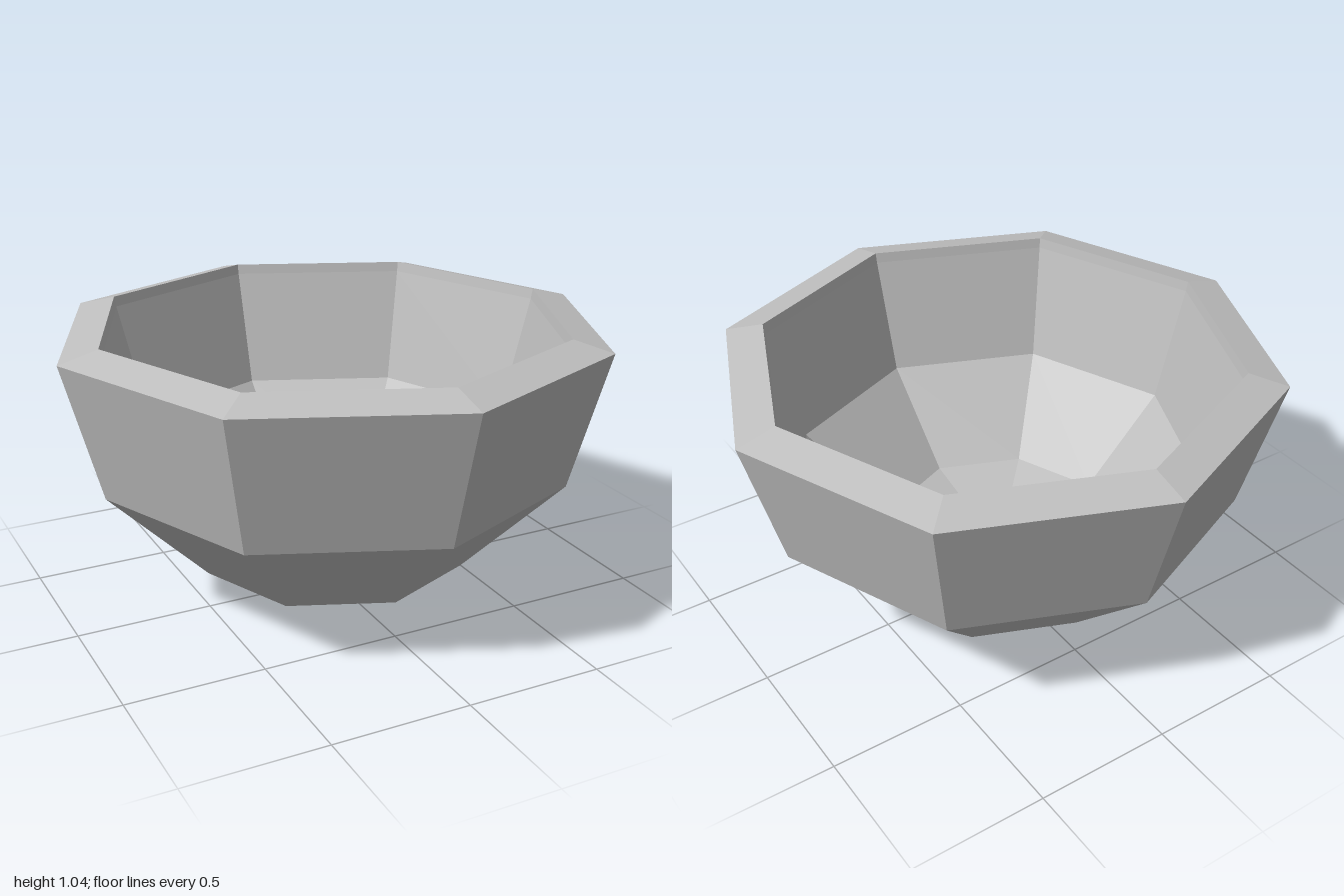
import * as THREE from 'three';

const SIDES = 8;
const RADIUS = 1;
const INNER_RADIUS = 0.85;
const RIM_Y = 1;

// Quarter-circle profile from the bottom pole up to the rim, in three steps
function bowlProfile(radius) {
  return [0, 1, 2, 3].map((i) => {
    const a = (i * Math.PI) / 6;
    return new THREE.Vector2(radius * Math.sin(a), RIM_Y - radius * Math.cos(a));
  });
}

export function createModel() {
  const group = new THREE.Group();
  group.name = 'bowl';

  const grey = new THREE.MeshStandardMaterial({ color: 0xbfbfbf, flatShading: true });
  grey.name = 'light grey';

  const addLathe = (name, points) => {
    const mesh = new THREE.Mesh(new THREE.LatheGeometry(points, SIDES), grey);
    mesh.name = name;
    group.add(mesh);
  };

  const outer = bowlProfile(RADIUS);
  const inner = bowlProfile(INNER_RADIUS).reverse();

  // Faceted outside
  addLathe('outerShell', outer);

  // Sloping lip with a small step down to the inside
  addLathe('rim', [outer[3], new THREE.Vector2(0.857, 1.037), inner[0]]);

  // Faceted inside, running downwards so that it faces inwards
  addLathe('innerShell', inner);

  return group;
}
